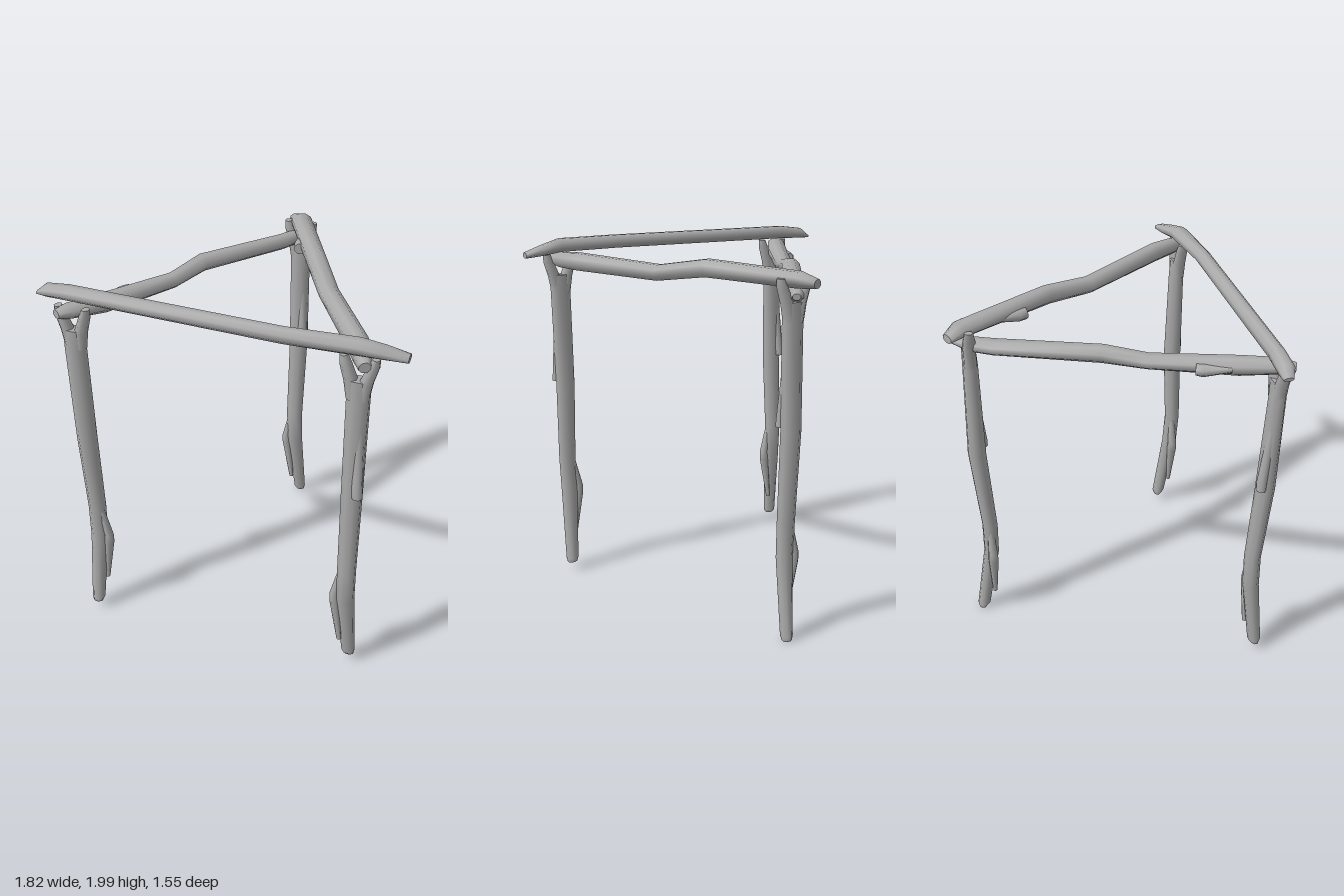
import * as THREE from 'three';

const SIDES = 8;
const UP = new THREE.Vector3(0, 1, 0);
const wood = new THREE.MeshStandardMaterial({ color: 0xaaaaaa });
wood.name = 'weathered grey wood';

// Lofted branch. Stations: [x, y, z, halfWidth along u, halfWidth along v]; u x v points along the branch.
function branch(name, stations, u, v) {
  const pos = [], idx = [];
  const ring = ([x, y, z, a, b]) => {
    for (let j = 0; j < SIDES; j++) {
      const t = ((j + 0.5) / SIDES) * Math.PI * 2;
      const p = new THREE.Vector3(x, y, z)
        .addScaledVector(u, Math.cos(t) * a * 1.05)
        .addScaledVector(v, Math.sin(t) * b * 1.05);
      pos.push(p.x, p.y, p.z);
    }
  };
  stations.forEach(ring);
  for (let i = 0; i < stations.length - 1; i++) {
    for (let j = 0; j < SIDES; j++) {
      const k = (j + 1) % SIDES, a = i * SIDES, b = a + SIDES;
      idx.push(a + j, a + k, b + j, a + k, b + k, b + j);
    }
  }
  // Flat end caps with their own vertices
  [stations[0], stations[stations.length - 1]].forEach((s, end) => {
    const base = pos.length / 3;
    ring(s);
    for (let j = 1; j < SIDES - 1; j++) {
      if (end) idx.push(base, base + j, base + j + 1);
      else idx.push(base, base + j + 1, base + j);
    }
  });
  const g = new THREE.BufferGeometry();
  g.setAttribute('position', new THREE.Float32BufferAttribute(pos, 3));
  g.setIndex(idx);
  g.computeVertexNormals();
  const mesh = new THREE.Mesh(g, wood);
  mesh.name = name;
  return mesh;
}

const upright = (name, st) =>
  branch(name, st, new THREE.Vector3(0, 0, 1), new THREE.Vector3(1, 0, 0));

function beam(name, st) {
  const a = st[0], b = st[st.length - 1];
  const d = new THREE.Vector3(b[0] - a[0], 0, b[2] - a[2]).normalize();
  return branch(name, st, new THREE.Vector3().crossVectors(UP, d), UP);
}

// Forked post: trunk, two prongs, a knot low down and a broken side stub
function post(name, trunk, knotX, stubX, stubZ) {
  const g = new THREE.Group();
  g.name = name;
  g.add(upright('trunk', trunk));
  const top = trunk[trunk.length - 1];
  const [x, , z] = top;
  for (const s of [-1, 1]) {
    g.add(upright('forkProng', [
      [x + s * 0.022, 1.7, z, 0.032, 0.03],
      [x + s * 0.035, 1.79, z, 0.032, 0.032],
      [x + s * 0.062, 1.87, z, 0.03, 0.027],
      [x + s * 0.073, 1.915, z, 0.022, 0.018],
    ]));
  }
  const [kx, ky, kz] = trunk[2];
  g.add(upright('knot', [
    [kx + knotX * 0.02, ky - 0.3, kz, 0.012, 0.012],
    [kx + knotX * 0.055, ky - 0.03, kz, 0.028, 0.026],
    [kx + knotX * 0.058, ky + 0.02, kz, 0.026, 0.024],
    [kx + knotX * 0.022, ky + 0.22, kz, 0.014, 0.014],
  ]));
  const m = trunk[4];
  g.add(upright('brokenStub', [
    [m[0] + stubX * 0.036, m[1] + 0.02, m[2] + stubZ * 0.04, 0.025, 0.025],
    [m[0] + stubX * 0.033, m[1] + 0.06, m[2] + stubZ * 0.038, 0.027, 0.025],
    [m[0] + stubX * 0.018, m[1] + 0.45, m[2] + stubZ * 0.005, 0.018, 0.02],
  ]));
  return g;
}

export function createModel() {
  const model = new THREE.Group();
  model.name = 'branchFrame';

  // Front posts mirror each other, bending opposite ways in z
  for (const s of [1, -1]) {
    const z = (dz) => 0.695 + s * dz;
    model.add(post(s > 0 ? 'frontLeftPost' : 'frontRightPost', [
      [s * 0.73, 0.055, z(-0.055), 0.022, 0.028],
      [s * 0.727, 0.08, z(-0.05), 0.035, 0.034],
      [s * 0.705, 0.5, z(0.003), 0.042, 0.045],
      [s * 0.705, 0.7, z(0.013), 0.042, 0.046],
      [s * 0.7, 1.16, z(-0.01), 0.048, 0.05],
      [s * 0.7, 1.7, z(-0.012), 0.038, 0.054],
      [s * 0.697, 1.8, z(-0.01), 0.034, 0.058],
    ], -s, s, s));
  }
  model.add(post('backPost', [
    [0.015, 0.005, -0.7, 0.022, 0.026],
    [0.014, 0.03, -0.692, 0.035, 0.032],
    [-0.005, 0.45, -0.624, 0.041, 0.043],
    [-0.012, 0.65, -0.622, 0.042, 0.046],
    [-0.008, 1.15, -0.658, 0.048, 0.051],
    [-0.008, 1.7, -0.653, 0.038, 0.053],
    [-0.01, 1.8, -0.655, 0.034, 0.058],
  ], -1, 1, 1));

  model.add(beam('frontBeam', [
    [-0.91, 1.933, 0.642, 0.025, 0.009],
    [-0.86, 1.953, 0.65, 0.042, 0.03],
    [-0.73, 1.963, 0.66, 0.04, 0.037],
    [0.35, 1.963, 0.704, 0.04, 0.037],
    [0.69, 1.962, 0.685, 0.05, 0.037],
    [0.8, 1.942, 0.66, 0.046, 0.029],
    [0.905, 1.922, 0.643, 0.034, 0.016],
  ]));

  model.add(beam('rightBeam', [
    [-0.755, 1.89, 0.755, 0.025, 0.022],
    [-0.72, 1.888, 0.7, 0.05, 0.035],
    [-0.63, 1.865, 0.53, 0.055, 0.045],
    [-0.44, 1.842, 0.14, 0.048, 0.036],
    [-0.36, 1.868, -0.06, 0.05, 0.042],
    [-0.09, 1.828, -0.54, 0.05, 0.038],
    [-0.03, 1.828, -0.65, 0.04, 0.036],
    [0.02, 1.835, -0.73, 0.02, 0.016],
  ]));
  model.add(beam('rightBeamKnot', [
    [-0.66, 1.865, 0.48, 0.012, 0.012],
    [-0.605, 1.85, 0.36, 0.032, 0.03],
    [-0.585, 1.85, 0.33, 0.03, 0.028],
  ]));

  model.add(beam('leftBeam', [
    [-0.075, 1.893, -0.76, 0.034, 0.022],
    [-0.02, 1.908, -0.69, 0.056, 0.04],
    [0.22, 1.917, -0.2, 0.052, 0.046],
    [0.37, 1.87, 0.06, 0.05, 0.042],
    [0.64, 1.888, 0.52, 0.052, 0.048],
    [0.7, 1.888, 0.65, 0.042, 0.042],
    [0.73, 1.885, 0.725, 0.028, 0.025],
  ]));
  model.add(beam('leftBeamKnot', [
    [0.09, 1.895, -0.34, 0.032, 0.03],
    [0.075, 1.895, -0.38, 0.032, 0.03],
    [0.045, 1.9, -0.5, 0.012, 0.014],
  ].reverse()));

  return model;
}
